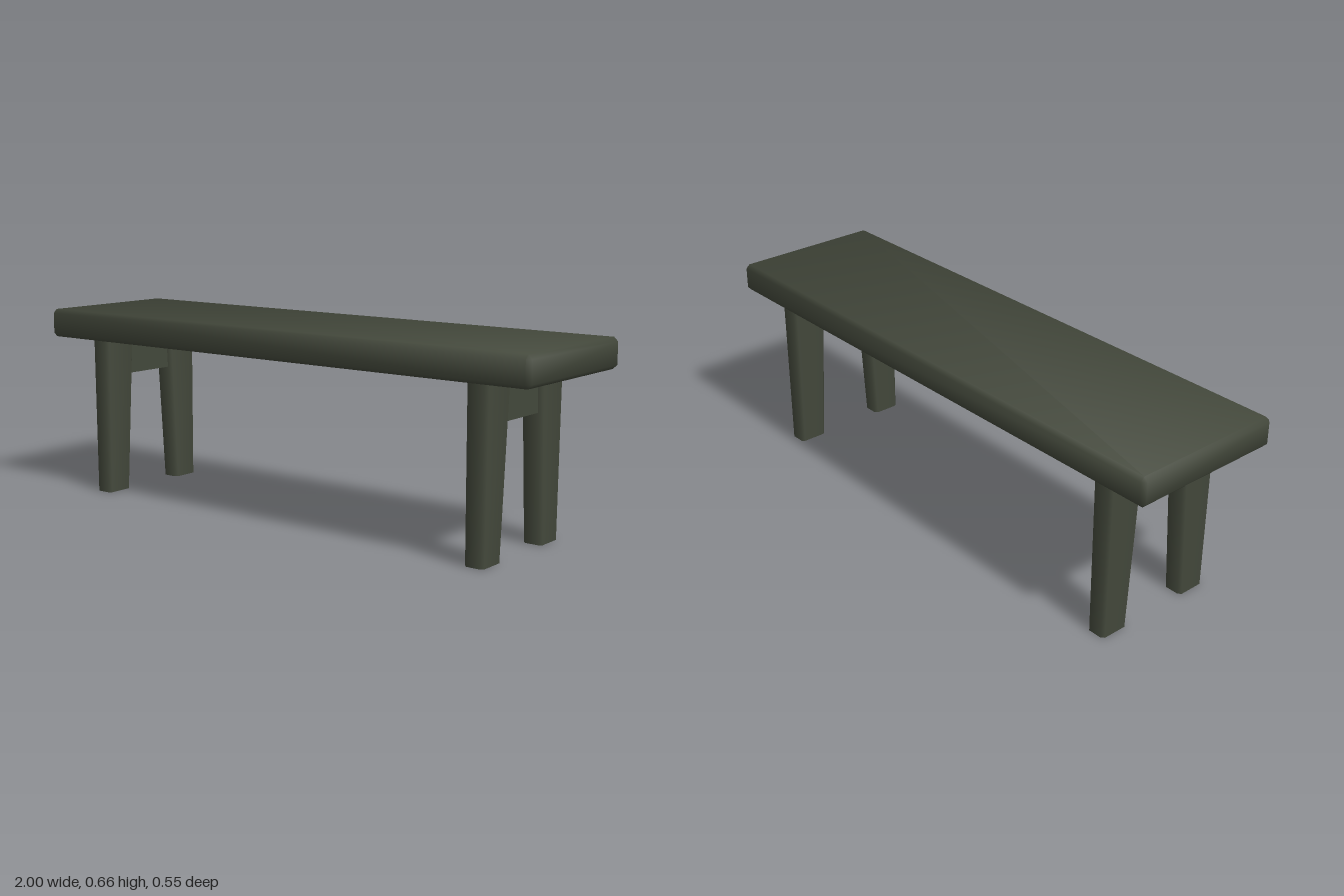
import * as THREE from 'three';
import { ConvexGeometry } from 'three/addons/geometries/ConvexGeometry.js';

// Box with chamfered edges, shaded smoothly across the chamfers
function chamferedBox(w, h, d, c) {
  const half = [w / 2, h / 2, d / 2];
  const points = [];
  for (const sx of [-1, 1]) for (const sy of [-1, 1]) for (const sz of [-1, 1])
    for (let axis = 0; axis < 3; axis++) {
      const p = half.map((v, i) => (i === axis ? v : v - c));
      points.push(new THREE.Vector3(sx * p[0], sy * p[1], sz * p[2]));
    }
  const geo = new ConvexGeometry(points);
  const pos = geo.attributes.position;
  const n = new THREE.Vector3();
  for (let i = 0; i < pos.count; i++) {
    const p = [pos.getX(i), pos.getY(i), pos.getZ(i)];
    n.set(...p.map((v, k) => Math.sign(v) * (Math.abs(v) > half[k] - c / 2 ? 3 : 1.28))).normalize();
    geo.attributes.normal.setXYZ(i, n.x, n.y, n.z);
  }
  return geo;
}

// Tapered leg: an eight-sided post reshaped to a rectangle with eased corners
function legGeometry(side, end) {
  const top = 0.57, ease = 0.01;
  const geo = new THREE.CylinderGeometry(1, 1, 1, 8, 1, false, Math.PI / 8);
  const pos = geo.attributes.position;
  const place = (v, halfWidth) => Math.abs(v) < 0.01 ? 0
    : Math.sign(v) * (Math.abs(v) > 0.7 ? halfWidth : halfWidth - ease);
  for (let i = 0; i < pos.count; i++) {
    const up = pos.getY(i) > 0;
    const inner = up ? 0.09 : 0.121, outer = 0.225;
    pos.setXYZ(i,
      end * 0.797 + place(pos.getX(i), up ? 0.038 : 0.034),
      up ? top : 0,
      side * (inner + outer) / 2 + place(pos.getZ(i), (outer - inner) / 2));
  }
  return geo;
}

export function createModel() {
  const group = new THREE.Group();
  group.name = 'bench';
  const wood = new THREE.MeshStandardMaterial({ color: 0x43483b });
  wood.name = 'dark olive wood';
  const add = (name, geo, x = 0, y = 0, z = 0) => {
    const mesh = new THREE.Mesh(geo, wood);
    mesh.name = name;
    mesh.position.set(x, y, z);
    group.add(mesh);
  };

  // Seat plank
  add('seat', chamferedBox(2, 0.1, 0.546, 0.014), 0, 0.612, 0);

  // A pair of legs joined by a short apron at each end
  for (const end of [-1, 1]) {
    const label = end > 0 ? 'left' : 'right';
    add(label + 'FrontLeg', legGeometry(1, end));
    add(label + 'BackLeg', legGeometry(-1, end));
    add(label + 'Apron', new THREE.BoxGeometry(0.045, 0.141, 0.22), end * 0.797, 0.4985, 0);
  }
  return group;
}
